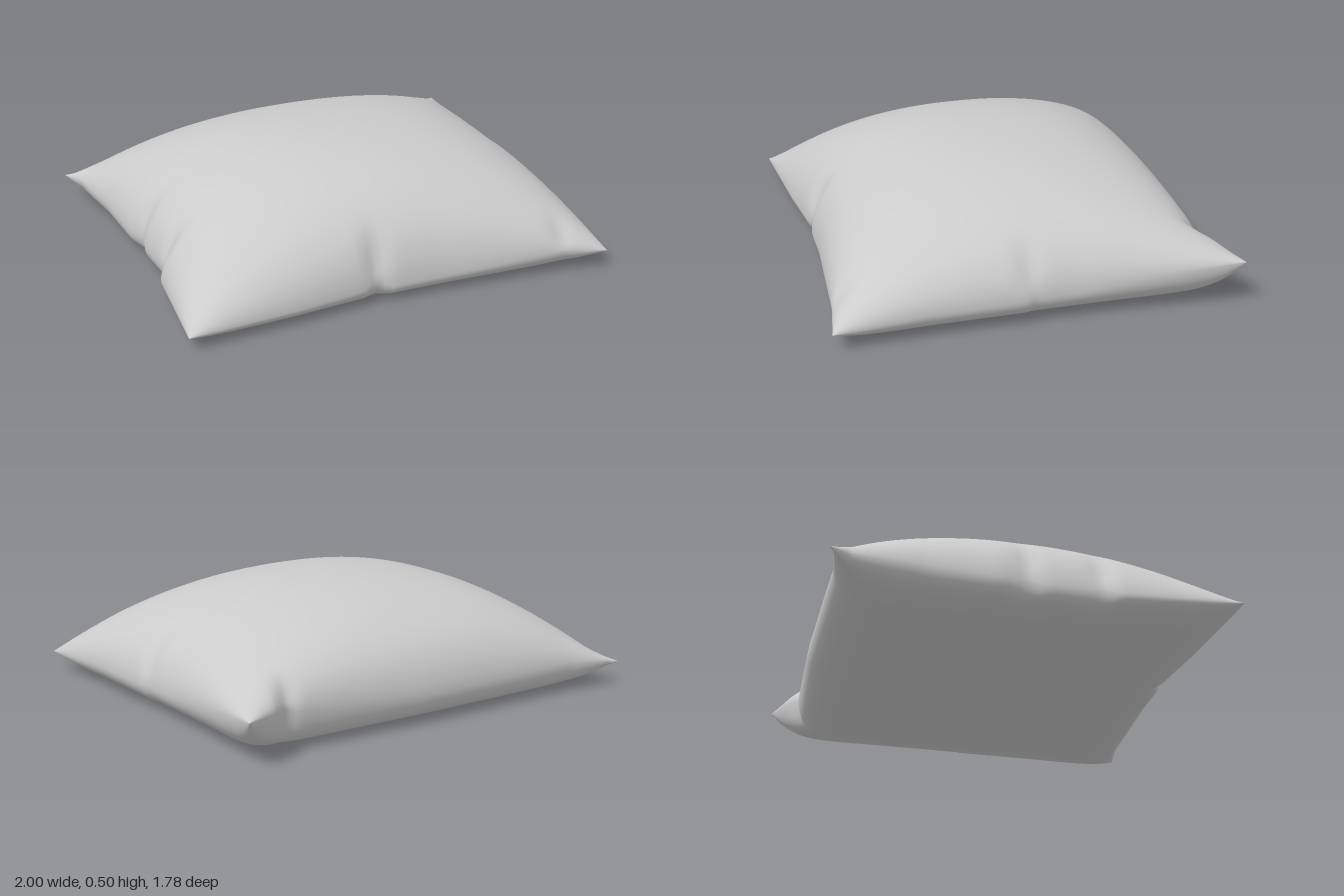
import * as THREE from 'three';
import { mergeGeometries, mergeVertices } from 'three/addons/utils/BufferGeometryUtils.js';

const N = 96;

// Cushion corners
const backRight = new THREE.Vector3(-0.93, 0.11, -0.89);
const backLeft = new THREE.Vector3(1.0, 0.2, -0.8);
const frontLeft = new THREE.Vector3(0.87, 0.08, 0.89);
const frontRight = new THREE.Vector3(-1.0, 0.06, 0.77);

// Seam lines: [position along edge -1..1, inward shift, vertical shift]
const edges = {
  back: [[-1, 0, 0], [-0.97, 0.02, 0], [-0.76, 0.05, 0], [0.07, 0.06, -0.03], [0.69, 0.095, -0.02],
    [0.74, 0.11, -0.01], [0.84, 0.055, 0], [1, 0, 0]],
  front: [[-1, 0, 0], [-0.47, 0.04, 0], [-0.16, 0.07, 0.01], [-0.1, 0.09, 0.03], [-0.03, 0.07, 0],
    [0.18, 0.07, 0], [0.8, 0.03, 0.02], [0.87, 0.02, 0.01], [1, 0, 0]],
  left: [[-1, 0, 0], [-0.47, 0.035, -0.02], [-0.17, 0.045, -0.03], [0.03, 0.04, -0.02],
    [0.065, 0.03, -0.02], [0.54, 0.02, 0], [1, 0, 0]],
  right: [[-1, 0, 0], [-0.89, 0.044, 0], [-0.53, 0.075, 0.01], [-0.17, 0.08, 0.01], [-0.02, 0.11, 0.02],
    [0.07, 0.09, 0.01], [0.34, 0.095, 0.02], [0.41, 0.06, 0], [1, 0, 0]],
};

// Puckers where the fabric is pinched at the seam: [u, v, strength]
const puckers = [[-0.1, 1, 0.5], [0.8, 1, 0.35], [0.74, -1, 0.4], [-1, 0.34, 0.4], [-1, -0.02, 0.35], [1, 0.05, 0.3]];

function sample(list, t) {
  let i = 1;
  while (i < list.length - 1 && list[i][0] < t) i++;
  const [a, b] = [list[i - 1], list[i]];
  const k = (t - a[0]) / (b[0] - a[0]);
  return [a[1] + (b[1] - a[1]) * k, a[2] + (b[2] - a[2]) * k];
}

// Plan position and seam height for u, v in -1..1
function seamPoint(u, v) {
  const a = (u + 1) / 2, b = (v + 1) / 2;
  const p = backRight.clone().lerp(backLeft, a).lerp(frontRight.clone().lerp(frontLeft, a), b);
  const back = sample(edges.back, u), front = sample(edges.front, u);
  const left = sample(edges.left, v), right = sample(edges.right, v);
  const weight = (s) => Math.max(0, s) ** 5;
  p.z += back[0] * weight(-v) - front[0] * weight(v);
  p.x += right[0] * weight(-u) - left[0] * weight(u);
  p.y += back[1] * weight(-v) + front[1] * weight(v) + right[1] * weight(-u) + left[1] * weight(u);
  return p;
}

const dome = (s, power) => Math.max(0, 1 - Math.abs(s) ** 2.2) ** power;
const flat = (s) => Math.sqrt(Math.max(0, 1 - Math.abs(s) ** 9));

function topPoint(u, v) {
  const p = seamPoint(u, v);
  let rise = (0.5 - p.y) * dome(u, u > 0 ? 0.5 : 0.58) * dome(v, 0.55);
  for (const [pu, pv, strength] of puckers) {
    const onSide = Math.abs(pu) === 1;
    const along = onSide ? v - pv : u - pu;
    const depth = onSide ? 1 - u * pu : 1 - v * pv;
    rise *= 1 - strength * Math.exp(-((along / 0.05) ** 2) - (depth / 0.1) ** 2);
  }
  p.y += rise;
  return p;
}

function bottomPoint(u, v) {
  const p = seamPoint(u, v);
  p.y *= 1 - flat(u) * flat(v);
  return p;
}

// Grid of points, denser towards the seam
function sheet(point, faceUp) {
  const positions = [], index = [];
  const spread = (i) => Math.sin((i / N - 0.5) * Math.PI);
  for (let j = 0; j <= N; j++) {
    for (let i = 0; i <= N; i++) positions.push(...point(spread(i), spread(j)).toArray());
  }
  for (let j = 0; j < N; j++) {
    for (let i = 0; i < N; i++) {
      const a = j * (N + 1) + i, b = a + 1, c = a + N + 1, d = c + 1;
      if (faceUp) index.push(a, c, b, b, c, d);
      else index.push(a, b, c, b, d, c);
    }
  }
  const geometry = new THREE.BufferGeometry();
  geometry.setAttribute('position', new THREE.Float32BufferAttribute(positions, 3));
  geometry.setIndex(index);
  return geometry;
}

export function createModel() {
  const group = new THREE.Group();
  group.name = 'pillow';
  // Top and bottom fabric joined along the seam
  const geometry = mergeVertices(mergeGeometries([sheet(topPoint, true), sheet(bottomPoint, false)]), 1e-5);
  geometry.computeVertexNormals();
  const cushion = new THREE.Mesh(geometry, new THREE.MeshStandardMaterial({ color: 0xcccccc }));
  cushion.name = 'cushion';
  group.add(cushion);
  return group;
}
